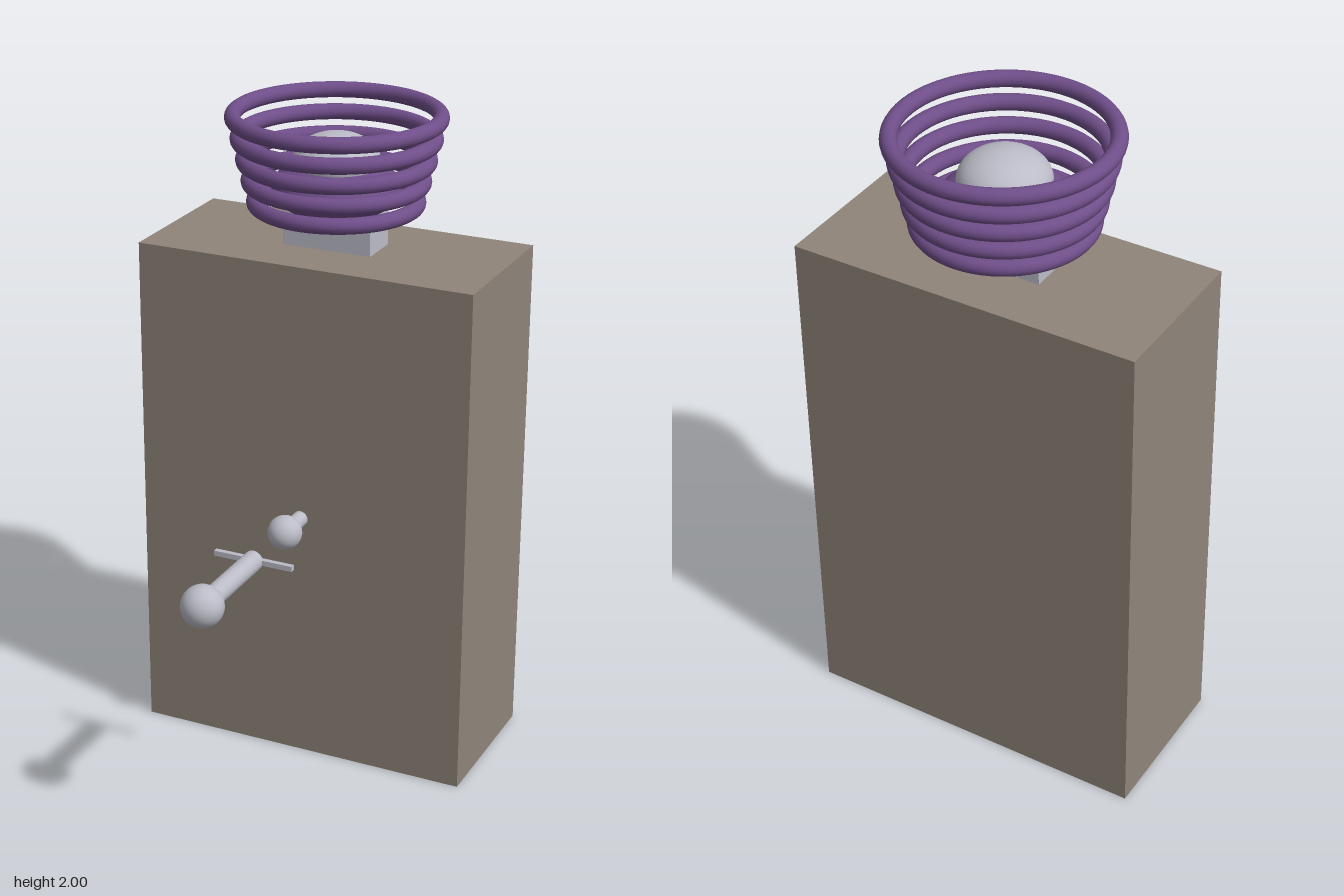
import * as THREE from 'three';

export function createModel() {
  const model = new THREE.Group();
  const material = (name, color) => {
    const m = new THREE.MeshStandardMaterial({ color });
    m.name = name;
    return m;
  };
  const stone = material('warm grey', 0x8f857a);
  const metal = material('pale metal', 0xbcbcc8);
  const purple = material('purple', 0x6f4e89);

  const add = (name, geometry, mat, x, y, z, parent = model) => {
    const mesh = new THREE.Mesh(geometry, mat);
    mesh.name = name;
    mesh.position.set(x, y, z);
    parent.add(mesh);
    return mesh;
  };
  const axisZ = -0.306;

  // Body slab and the neck on top of it
  add('body', new THREE.BoxGeometry(1.06, 1.59, 0.48), stone, 0, 0.795, -0.305);
  add('neck', new THREE.BoxGeometry(0.28, 0.14, 0.13), metal, 0, 1.66, -0.303);

  // Flattened cushion with a pale dome
  add('cushion', new THREE.SphereGeometry(0.19, 40, 24), purple, 0, 1.765, axisZ).scale.y = 0.48;
  add('dome', new THREE.SphereGeometry(0.13, 32, 20), metal, 0, 1.845, axisZ).scale.y = 0.64;

  // Stack of rings widening upwards
  const rings = new THREE.Group();
  rings.name = 'coilRings';
  model.add(rings);
  for (let i = 0; i < 5; i++) {
    const ring = new THREE.TorusGeometry(0.24 + i * 0.0155, 0.024, 16, 64).rotateX(Math.PI / 2);
    add('ring' + (i + 1), ring, purple, 0, 1.722 + i * 0.0635, axisZ, rings);
  }

  // Round rod along z with a ball at its front end
  const knob = (name, rodRadius, ballRadius, back, front) => {
    const group = new THREE.Group();
    group.name = name;
    group.position.y = 0.797;
    model.add(group);
    const rod = new THREE.CylinderGeometry(rodRadius, rodRadius, front - back, 24).rotateX(Math.PI / 2);
    add('rod', rod, metal, 0, 0, (front + back) / 2, group);
    add('ball', new THREE.SphereGeometry(ballRadius, 32, 20), metal, 0, 0, front, group);
    return group;
  };
  knob('fixedKnob', 0.024, 0.052, -0.08, 0.042);
  const handle = knob('looseHandle', 0.031, 0.063, 0.25, 0.57);
  add('crossbar', new THREE.BoxGeometry(0.25, 0.016, 0.016), metal, 0, 0, 0.249, handle);

  return model;
}
